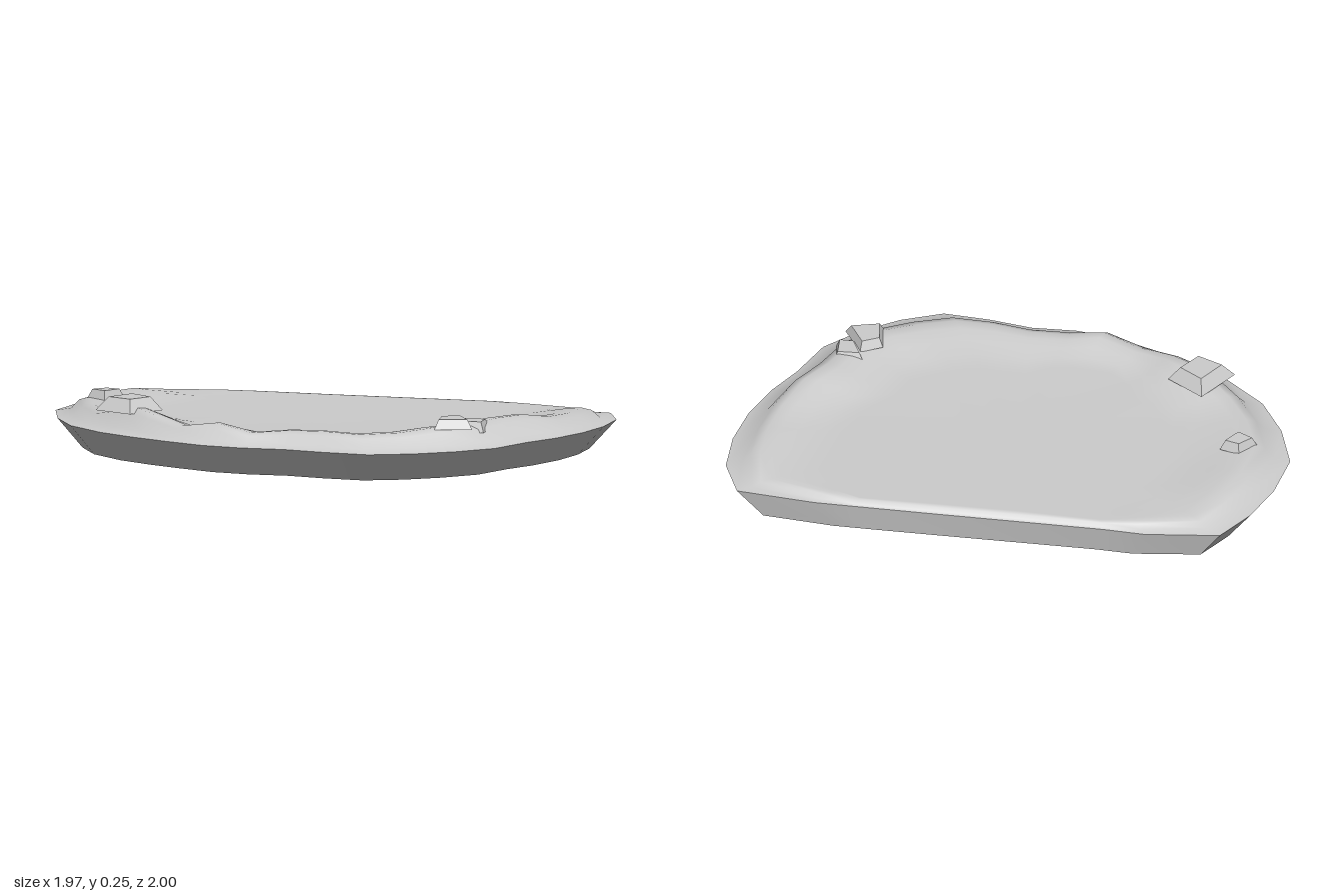
import * as THREE from 'three';

// Rim outline, clockwise from above: x, z, crest height, width factor of the bank
const outline = [
  [.98, .48, .145, 1], [.9, .64, .17, 1], [.76, .76, .172, 1], [.6, .85, .18, 1], [.43, .91, .207, 1],
  [.27, .94, .207, 1], [.08, 1, .2, 1], [-.1, .985, .2, 1], [-.27, .94, .185, 1], [-.43, .86, .18, 1],
  [-.54, .71, .185, .9], [-.63, .56, .18, .8], [-.75, .43, .168, .7], [-.84, .29, .2, .65],
  [-.9, .12, .175, .6], [-.95, -.05, .205, .7], [-.985, -.22, .222, .9], [-.985, -.43, .18, 1],
  [-.92, -.62, .18, 1], [-.81, -.8, .18, 1], [-.63, -.91, .175, 1], [-.45, -.975, .17, 1],
  [-.27, -1, .15, 1], [-.05, -.8, .147, .5], [.05, -.67, .145, .2], [.27, -.41, .145, .2],
  [.49, -.15, .145, .2], [.7, .1, .145, .2], [.8, .22, .146, .5],
];
const CORNER = 22; // index where the curved edge meets the straight one
const RIM = .12, FLOOR = .145, CX = -.12, CZ = .05;

// Smooth surface through rows of points
function grid(rows, closed, material, name) {
  const n = rows[0].length, index = [];
  for (let i = 0; i + 1 < rows.length; i++) {
    for (let j = 0; j < (closed ? n : n - 1); j++) {
      const k = (j + 1) % n, a = i * n + j, b = i * n + k, c = a + n, d = b + n;
      index.push(a, b, c, b, d, c);
    }
  }
  const g = new THREE.BufferGeometry();
  g.setAttribute('position', new THREE.Float32BufferAttribute(rows.flat(2), 3));
  g.setIndex(index);
  g.computeVertexNormals();
  const mesh = new THREE.Mesh(g, material);
  mesh.name = name;
  return mesh;
}

// Point on the bank, a distance inwards from the outline
function bankPoint([x, z, crest, w], inset, rise, toCrest) {
  const dx = CX - x, dz = CZ - z, len = Math.hypot(dx, dz);
  const top = RIM + (crest - RIM) * rise;
  const y = toCrest ? top : FLOOR + (crest - FLOOR) * rise;
  return [x + dx / len * inset * w, y, z + dz / len * inset * w];
}

// Chipped block with a smaller top, from four base corners
function rock(corners, y0, y1, taper, material) {
  const g = new THREE.BoxGeometry(1, 1, 1), p = g.attributes.position;
  const mx = corners.reduce((s, c) => s + c[0], 0) / 4, mz = corners.reduce((s, c) => s + c[1], 0) / 4;
  for (let i = 0; i < p.count; i++) {
    const right = p.getX(i) > 0, front = p.getZ(i) > 0, up = p.getY(i) > 0;
    const c = corners[front ? (right ? 2 : 3) : (right ? 1 : 0)];
    const s = up ? taper : 1;
    p.setXYZ(i, mx + (c[0] - mx) * s, up ? y1 : y0, mz + (c[1] - mz) * s);
  }
  g.computeVertexNormals();
  const mesh = new THREE.Mesh(g, material);
  mesh.name = 'rock';
  return mesh;
}

export function createModel() {
  const group = new THREE.Group();
  group.name = 'rockyBasin';
  const stone = new THREE.MeshStandardMaterial({ color: 0xcccccc, side: THREE.DoubleSide });
  stone.name = 'grey stone';

  // Basin floor and raised bank, from the middle out to the rim
  const profile = [
    [.44, 0, false], [.34, .2, false], [.26, .6, false], [.19, .93, false],
    [.14, 1, true], [.1, .8, true], [.065, .2, true], [0, 0, true],
  ];
  const rows = profile.map(([d, r, c]) => outline.map(p => bankPoint(p, d, r, c)));
  rows.unshift(outline.map(() => [CX, FLOOR, CZ]));
  group.add(grid(rows, true, stone, 'terrain'));

  // Flared side walls, open underneath, with sharp corners at the straight edge
  const wall = (pts, name) => grid([
    pts.map(([x, z]) => [x, RIM, z]),
    pts.map(([x, z]) => [x * .91 + .008, 0, z * .9 - .02]),
  ], false, stone, name);
  group.add(wall(outline.slice(0, CORNER + 1), 'curvedWall'));
  group.add(wall([...outline.slice(CORNER), outline[0]], 'straightWall'));

  // Loose rocks on the bank
  const rocks = new THREE.Group();
  rocks.name = 'rocks';
  rocks.add(
    rock([[-.96, -.29], [-.76, -.32], [-.74, -.14], [-.91, -.12]], .198, .252, .62, stone),
    rock([[-.03, .765], [.06, .8], [.01, .945], [-.115, .86]], .193, .232, .75, stone),
    rock([[.08, .75], [.165, .84], [.08, .92], [.03, .86]], .172, .213, .7, stone),
    rock([[-.735, -.69], [-.64, -.685], [-.605, -.61], [-.715, -.595]], .172, .213, .7, stone),
  );
  group.add(rocks);
  return group;
}
